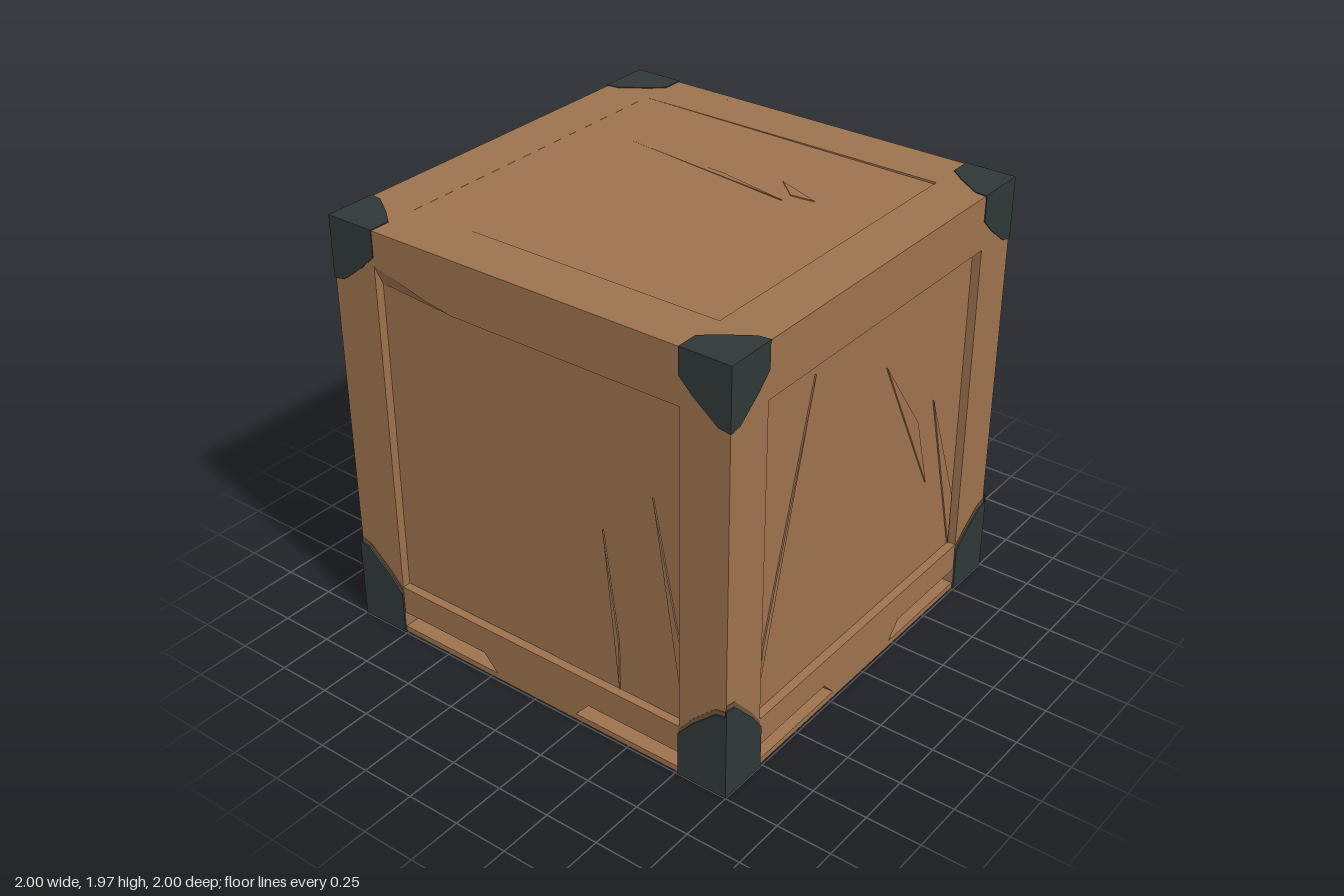
import * as THREE from 'three';

export function createModel() {
  const crate = new THREE.Group();
  crate.name = 'woodenCrate';
  const wood = new THREE.MeshStandardMaterial({ color: 0x9c724e });
  wood.name = 'wood';
  const iron = new THREE.MeshStandardMaterial({ color: 0x2f3837 });
  iron.name = 'darkIron';
  const worn = new THREE.MeshStandardMaterial({ color: 0x6c543d });
  worn.name = 'wornWood';
  const chipWood = new THREE.MeshStandardMaterial({ color: 0x9c724e, side: THREE.DoubleSide });
  chipWood.name = 'splinteredWood';

  const HALF = 0.99, TOP = 1.966, FLOOR = 0.105, DEPTH = 0.04, PANEL = HALF - DEPTH;

  const add = (parent, name, geometry, material, x = 0, y = 0, z = 0) => {
    const mesh = new THREE.Mesh(geometry, material);
    mesh.name = name;
    mesh.position.set(x, y, z);
    parent.add(mesh);
    return mesh;
  };
  const outline = (points) => new THREE.Shape(points.map(([x, y]) => new THREE.Vector2(x, y)));
  const slab = (points, depth, hole) => {
    const shape = outline(points);
    if (hole) shape.holes.push(outline(hole));
    return new THREE.ExtrudeGeometry(shape, { depth, bevelEnabled: false });
  };
  const rect = (x0, y0, x1, y1) => [[x0, y0], [x1, y0], [x1, y1], [x0, y1]];
  const triangle = (...corners) => {
    const geometry = new THREE.BufferGeometry();
    geometry.setAttribute('position', new THREE.Float32BufferAttribute(corners.flat(), 3));
    geometry.computeVertexNormals();
    return geometry;
  };

  // Inner box whose sides are the recessed panels
  add(crate, 'panels', new THREE.BoxGeometry(2 * PANEL, 1.84, 2 * PANEL), wood, 0, FLOOR + 0.92, 0);

  // Corner guard outline: sx and sy pick the corner, w and h its reach
  const guard = (sx, sy, edge, yEdge, w, h, short) => [
    [sx * edge, yEdge], [sx * (edge - w), yEdge], [sx * (edge - w), yEdge + sy * short],
    [sx * (edge - w * 0.72), yEdge + sy * (short + (h - short) * 0.4)],
    [sx * (edge - w * 0.24), yEdge + sy * h * 0.97], [sx * edge, yEdge + sy * h],
  ];

  // Raised splinters on the panels and guard heights [lower left, lower right] of each side
  const sides = [
    { name: 'front', guards: [0.39, 0.41], splinters: [[[0.61, 1.25], [0.76, 0.25], [0.76, 0.5]], [[0.36, 1], [0.43, 0.24], [0.43, 0.48]]] },
    { name: 'left', guards: [0.44, 0.35], splinters: [[[0.12, 1.44], [0.5, 0.7], [0.4, 1.05]], [[0.52, 1.1], [0.75, 0.24], [0.75, 0.5]], [[-0.4, 1.65], [-0.75, 0.24], [-0.7, 0.55]]] },
    { name: 'back', guards: [0.39, 0.39], splinters: [[[0.02, 1.6], [-0.04, 0.3], [0.05, 0.9]]] },
    { name: 'right', guards: [0.39, 0.39], splinters: [] },
  ];

  // Four sides: frame, skid block, splinters and guards
  sides.forEach(({ name, guards, splinters }, i) => {
    const face = new THREE.Group();
    face.name = name + 'Side';
    face.rotation.y = i * Math.PI / 2;
    crate.add(face);

    const opening = rect(-0.76, 0.24, 0.76, 1.72);
    if (i === 0) opening.splice(2, 2, [0.76, 1.72], [-0.34, 1.72], [-0.48, 1.74], [-0.76, 1.81]);
    add(face, 'frame', slab(rect(-HALF, FLOOR, HALF, TOP), DEPTH, opening), wood, 0, 0, PANEL);

    const skid = [[-0.22, 0.028], [0.22, 0.028], [0.29, FLOOR], [-0.29, FLOOR]];
    add(face, 'skidBlock', slab(skid, 0.24), wood, 0, 0, HALF - 0.24);

    for (const points of splinters) add(face, 'panelSplinter', slab(points, 0.007), wood, 0, 0, PANEL);

    [-1, 1].forEach((sx, k) => {
      const height = guards[k];
      add(face, 'lowerGuard', slab(guard(sx, 1, 0.999, 0, 0.239, height, 0.21), 0.009), iron, 0, 0, HALF);
      add(face, 'lowerGuardWear', slab(guard(sx, 1, HALF, 0.02, 0.23, height, 0.21), 0.002), worn, 0, 0, HALF);
      add(face, 'upperGuard', slab(guard(sx, -1, 0.994, 1.97, 0.234, 0.28, 0.12), 0.004), iron, 0, 0, HALF);
    });
  });

  // Chipped bevel under the front top rail
  add(crate, 'railChip', triangle([-0.76, 1.81, HALF], [-0.76, 1.72, 0.952], [-0.34, 1.72, HALF]), chipWood);
  // Broken board hanging in the front gap
  add(crate, 'brokenBoard', triangle([0.29, FLOOR, 0.97], [0.76, 0.03, 0.8], [0.76, FLOOR, 0.97]), chipWood);

  // Lid: frame, panel sinking towards one side, and guards
  const lid = new THREE.Group();
  lid.name = 'lid';
  lid.rotation.x = -Math.PI / 2;
  crate.add(lid);
  const ring = rect(-0.76, -0.75, 0.76, 0.75);
  add(lid, 'lidFrame', slab(rect(-HALF, -HALF, HALF, HALF), DEPTH, ring), wood, 0, 0, TOP - DEPTH);
  const lidPanel = add(lid, 'lidPanel', slab(ring, 0.03), wood, 0, 0, TOP - 0.035);
  lidPanel.rotation.y = 0.006;
  add(lid, 'lidSplinter', slab([[0.25, 0.38], [0.35, 0.29], [0.46, 0.3]], 0.005), wood, 0, 0, TOP - 0.007);
  add(lid, 'lidSplinter', slab([[-0.51, 0.33], [0.35, 0.23], [0, 0.3]], 0.005), wood, 0, 0, TOP - 0.007);
  for (const sx of [-1, 1]) for (const sy of [-1, 1]) {
    const points = guard(sx, -sy, 0.994, sy * 0.994, 0.234, 0.24, 0.1);
    add(lid, 'lidGuard', slab(points, 0.005), iron, 0, 0, TOP - 0.001);
  }

  // Open base frame with corner posts, leaving the underside recessed
  const base = new THREE.Group();
  base.name = 'base';
  base.rotation.x = -Math.PI / 2;
  crate.add(base);
  add(base, 'baseFrame', slab(rect(-HALF, -HALF, HALF, HALF), 0.028, ring), wood);
  for (const sx of [-1, 1]) for (const sz of [-1, 1]) {
    add(crate, 'cornerPost', new THREE.BoxGeometry(0.23, 0.077, 0.23), wood, sx * 0.875, 0.0665, sz * 0.875);
  }
  return crate;
}
